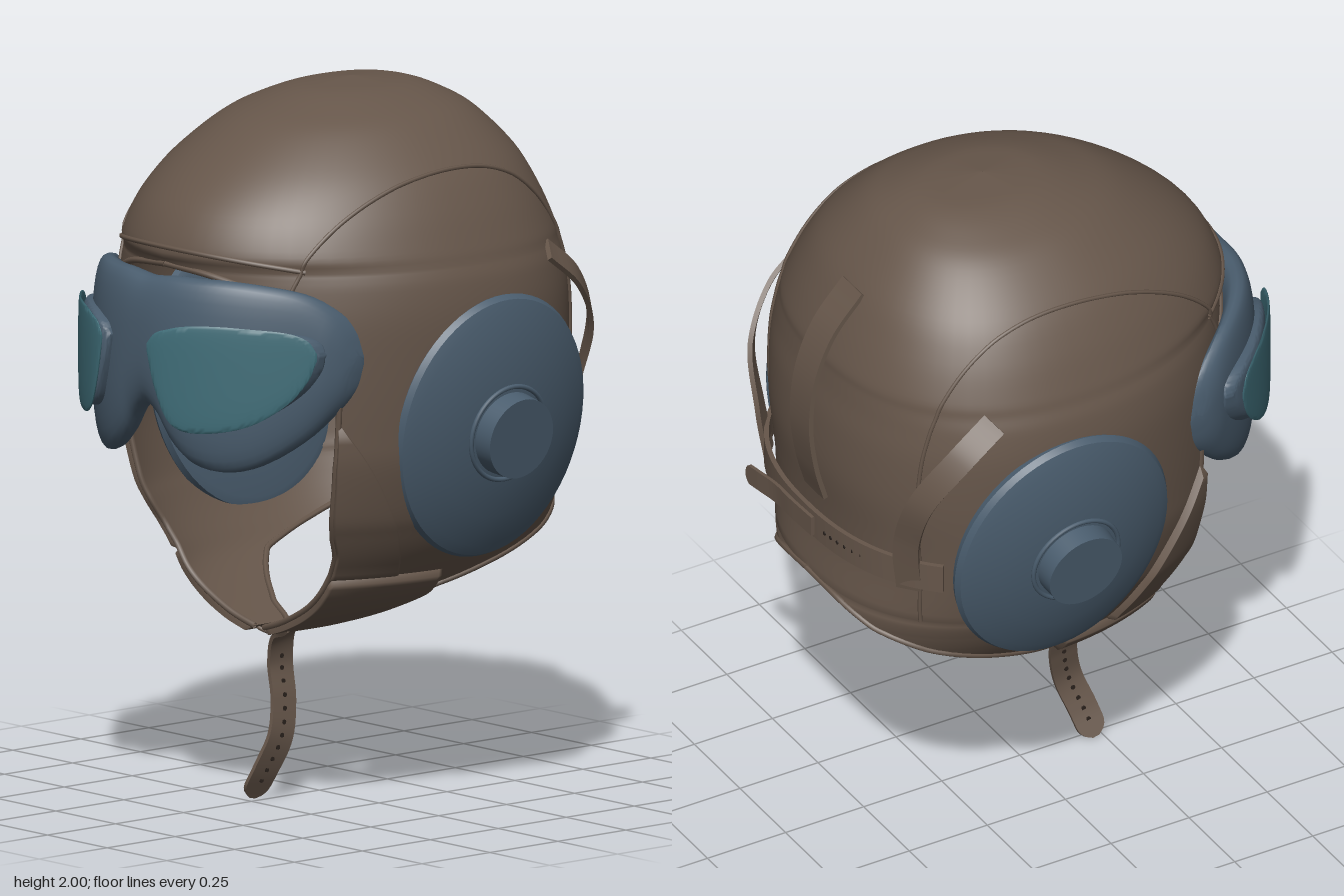
import * as THREE from 'three';
import { mergeGeometries, mergeVertices, toCreasedNormals } from 'three/addons/utils/BufferGeometryUtils.js';

const V = (x, y, z) => new THREE.Vector3(x, y, z);
const mat = (color) => new THREE.MeshStandardMaterial({ color, side: THREE.DoubleSide });
const leather = mat(0x66564a), rubber = mat(0x4a5d6e), glass = mat(0x3f6d78), dark = mat(0x2a221d);

// Shell levels: y, half width, front z, back z, z of the face edge, z of the neck edge
const LEVELS = [
  [2.0, 0.0005, -0.1195, -0.1205, 1, -1], [1.985, 0.13, 0.04, -0.29, 1, -1], [1.95, 0.235, 0.165, -0.385, 1, -1],
  [1.9, 0.325, 0.285, -0.46, 1, -1], [1.8, 0.43, 0.43, -0.55, 1, -1], [1.7, 0.495, 0.53, -0.605, 1, -1],
  [1.6, 0.54, 0.578, -0.645, 1, -1], [1.555, 0.555, 0.565, -0.652, 0.565, -1], [1.5, 0.573, 0.565, -0.66, 0.48, -1],
  [1.4, 0.585, 0.57, -0.675, 0.38, -1], [1.25, 0.582, 0.575, -0.68, 0.32, -1], [1.1, 0.572, 0.575, -0.665, 0.32, -1],
  [1.0, 0.56, 0.57, -0.66, 0.32, -1], [0.865, 0.52, 0.55, -0.68, 0.305, -0.68], [0.8, 0.49, 0.52, -0.68, 0.285, -0.625],
  [0.74, 0.455, 0.49, -0.67, 0.255, -0.5], [0.68, 0.41, 0.46, -0.66, 0.24, -0.32], [0.62, 0.355, 0.45, -0.66, 0.24, -0.12],
  [0.57, 0.27, 0.45, -0.66, 0.235, -0.04], [0.52, 0.14, 0.45, -0.66, 0.23, 0.05], [0.49, 0.025, 0.45, -0.66, 0.22, 0.1]];
const LAST = LEVELS.length - 1, ZC = -0.12;
const clamp = THREE.MathUtils.clamp;

// Smooth value of one column at level t (edge columns stay linear)
function col(t, c) {
  const i = Math.min(Math.floor(t), LAST - 1), f = t - i;
  const g = (k) => LEVELS[clamp(k, 0, LAST)][c];
  const [a, b, d, e] = [g(i - 1), g(i), g(i + 1), g(i + 2)];
  if (c > 3 || i === 0) return b + (d - b) * f;
  return b + 0.5 * f * (d - a + f * (2 * a - 5 * b + 4 * d - e + f * (3 * (b - d) + e - a)));
}
function levelAt(y) {
  let lo = 0, hi = LAST;
  for (let k = 0; k < 40; k++) { const m = (lo + hi) / 2; if (col(m, 0) > y) lo = m; else hi = m; }
  return lo;
}
// Level outline: round in front, squarer behind
const power = (front) => (front ? 2 : 2.35);
// Point on the shell; angle 0 is the front, PI the back
function shellPoint(t, ang, off = 0) {
  const s = Math.sin(ang), c = Math.cos(ang), y = col(t, 0), n = power(c > 0);
  const rho = (Math.abs(s) ** n + Math.abs(c) ** n) ** (-1 / n);
  const r = (c > 0 ? col(t, 2) - ZC : ZC - col(t, 3)) + off;
  return V((col(t, 1) + off) * s * rho, y - off * clamp((0.7 - y) / 0.15, 0, 1), ZC + r * c * rho);
}
function angleAtZ(t, z) {
  const n = power(z > ZC), r = z > ZC ? col(t, 2) - ZC : ZC - col(t, 3);
  const q = Math.min(Math.abs(z - ZC) / r, 1);
  return Math.atan2((1 - q ** n) ** (1 / n), z > ZC ? q : -q);
}
function angleAtX(t, x, front) {
  const n = power(front), q = Math.min(x / col(t, 1), 1), c = (1 - q ** n) ** (1 / n);
  return Math.atan2(q, front ? c : -c);
}
const faceEdge = (t) => angleAtZ(t, col(t, 4));
const neckEdge = (t) => angleAtZ(t, col(t, 5));
const mirrored = (pts, side) => pts.map((p) => V(p.x * side, p.y, p.z));

// Patch of the shell on one side, between two levels; a raised patch slopes down at its border
function shellSide(side, t0, t1, off, backZ) {
  const rows = Math.ceil((t1 - t0) * 5), cols = 36, pos = [], idx = [];
  for (let i = 0; i <= rows; i++) {
    const t = t0 + (t1 - t0) * i / rows, a = faceEdge(t);
    const b = backZ ? Math.max(a, Math.min(neckEdge(t), angleAtZ(t, backZ(col(t, 0))))) : neckEdge(t);
    for (let j = 0; j <= cols; j++) {
      const border = i === 0 || i === rows || j === 0 || j === cols;
      const p = shellPoint(t, a + (b - a) * j / cols, border ? 0 : off);
      pos.push(p.x * side, p.y, p.z);
      if (i === rows || j === cols) continue;
      const k = i * (cols + 1) + j, m = k + cols + 1;
      if (side > 0) idx.push(k, m, k + 1, k + 1, m, m + 1);
      else idx.push(k, k + 1, m, k + 1, m + 1, m);
    }
  }
  const g = new THREE.BufferGeometry();
  g.setAttribute('position', new THREE.Float32BufferAttribute(pos, 3));
  g.setIndex(idx);
  g.computeVertexNormals();
  return g;
}

// Solid through a row of closed cross-sections, turned to face outward
function loft(rings, crease) {
  const n = rings[0].length, all = rings.flat(), idx = [];
  for (let i = 0; i < rings.length - 1; i++) for (let j = 0; j < n; j++) {
    const a = i * n + j, b = i * n + (j + 1) % n;
    idx.push(a, a + n, b, b, a + n, b + n);
  }
  const end = (rings.length - 1) * n;
  for (let j = 1; j < n - 1; j++) idx.push(0, j, j + 1, end, end + j + 1, end + j);
  let vol = 0;
  for (let k = 0; k < idx.length; k += 3) vol += all[idx[k]].dot(all[idx[k + 1]].clone().cross(all[idx[k + 2]]));
  if (vol < 0) idx.reverse();
  const g = new THREE.BufferGeometry().setFromPoints(all);
  g.setIndex(idx);
  return toCreasedNormals(g, crease);
}

// Flat strap along a path; normal is fixed or points away from the head
function ribbon(pts, width, thick, normal, roundEnd = false) {
  const curve = new THREE.CatmullRomCurve3(pts), N = 48, rings = [];
  for (let i = 0; i <= N; i++) {
    const u = i / N, p = curve.getPoint(u), t = curve.getTangent(u);
    const out = normal ? normal.clone() : p.clone().sub(V(0, 1.1, ZC)).normalize();
    const w = t.clone().cross(out).normalize(), n = w.clone().cross(t).normalize();
    const e = roundEnd ? Math.sqrt(1 - clamp((u - 0.92) / 0.08, 0, 0.97) ** 2) : 1;
    rings.push([[1, 1], [-1, 1], [-1, -1], [1, -1]].map(([a, b]) =>
      p.clone().addScaledVector(w, a * e * width / 2).addScaledVector(n, b * thick / 2)));
  }
  return loft(rings, 0.7);
}

// Bent plate lofted along x from [x, bottom, top] stations
function bentPlate(stations, zMid, half, p) {
  const curve = new THREE.CatmullRomCurve3(stations.map((s) => V(...s))), N = 64, rings = [];
  const sp = (v) => Math.sign(v) * Math.abs(v) ** p;
  for (let i = 0; i <= N; i++) {
    const s = curve.getPoint(i / N), h = (s.z - s.y) / 2;
    const d = half * Math.sqrt(clamp(h / 0.12, 0.1, 1)), ring = [];
    for (let k = 0; k < 32; k++) {
      const a = k / 32 * Math.PI * 2;
      ring.push(V(s.x, (s.y + s.z) / 2 + h * sp(Math.cos(a)), zMid(s.x) + d * sp(Math.sin(a))));
    }
    rings.push(ring);
  }
  return loft(rings, 0.8);
}

// Ear disc: turned dish, narrowed and curved round the head
function earDisc() {
  const profile = [[0, -0.045], [0.2, -0.04], [0.35, -0.035], [0.375, -0.025], [0.382, -0.005], [0.372, 0.012],
    [0.34, 0.024], [0.25, 0.042], [0.15, 0.056], [0, 0.056]];
  const g = new THREE.LatheGeometry(profile.map((p) => new THREE.Vector2(...p)), 64);
  g.scale(1, 1, 0.885);
  const pos = g.attributes.position;
  for (let i = 0; i < pos.count; i++) pos.setY(i, pos.getY(i) - 0.22 * pos.getZ(i) ** 2 - 0.1 * pos.getX(i) ** 2);
  return toCreasedNormals(g, 0.6);
}

export function createModel() {
  const model = new THREE.Group();
  const add = (name, geo, m = leather, parent = model) => {
    const mesh = new THREE.Mesh(geo, m);
    mesh.name = name;
    parent.add(mesh);
  };
  const cord = (name, pts, r) => add(name, new THREE.TubeGeometry(new THREE.CatmullRomCurve3(pts), 90, r, 6));
  const range = (a, b, n, f) => Array.from({ length: n + 1 }, (_, i) => f(a + (b - a) * i / n));

  // Leather shell, joined along the middle
  const halves = [1, -1].map((s) => shellSide(s, 0, LAST, 0));
  halves.forEach((g) => g.deleteAttribute('normal'));
  const shell = mergeVertices(mergeGeometries(halves));
  shell.computeVertexNormals();
  add('shell', shell);
  cord('browSeam', range(-0.75, 0.75, 24, (a) => shellPoint(levelAt(1.605 - 0.08 * a * a), a, 0.001)), 0.007);

  const chin = levelAt(0.67), brow = 7, nape = 13;
  for (const side of [1, -1]) {
    // Hems, crown seam and reinforcing patches
    cord('faceHem', mirrored(range(brow, LAST, 50, (t) => shellPoint(t, faceEdge(t))), side), 0.009);
    cord('neckHem', mirrored(range(nape, LAST, 40, (t) => shellPoint(t, neckEdge(t))), side), 0.009);
    const top = levelAt(1.799), seamX = (t, slope) => 0.43 - slope * (1.8 - col(t, 0));
    const front = range(levelAt(1.5), top, 18, (t) => shellPoint(t, angleAtX(t, seamX(t, 0.25), true), 0.002));
    const back = range(top + 0.05, nape, 30, (t) => shellPoint(t, angleAtX(t, seamX(t, 0.05), false), 0.002));
    cord('crownSeam', mirrored([...front, ...back], side), 0.006);
    add('chinFlap', shellSide(side, chin, LAST, 0.02, () => -0.1));
    add('cheekPatch', shellSide(side, levelAt(1.13), chin + 0.1, 0.022, (y) => 0.05 + 0.265 * Math.max((y - 0.66) / 0.47, 0) ** 1.2));

    // Ear cup with raised knob
    const ear = new THREE.Group();
    ear.name = 'earCup';
    ear.position.set(side * 0.545, 1.08, -0.17);
    ear.rotation.z = -side * (Math.PI / 2 + 0.16);
    model.add(ear);
    add('earDisc', earDisc(), rubber, ear);
    add('earKnob', new THREE.CylinderGeometry(0.115, 0.12, 0.08, 48).translate(0, 0.07, 0), rubber, ear);
    add('earRing', new THREE.TorusGeometry(0.135, 0.007, 8, 48).rotateX(Math.PI / 2).translate(0, 0.054, 0), rubber, ear);

    // Curved strap behind the ear
    const path = [[1.55, -0.38, 0.01], [1.46, -0.47, 0.04], [1.32, -0.545, 0.055], [1.15, -0.57, 0.035], [0.99, -0.56, 0.022]]
      .map(([y, z, off]) => { const t = levelAt(y); return shellPoint(t, angleAtZ(t, z), off); });
    add('earStrap', ribbon(mirrored(path, side), 0.075, 0.014));
  }

  // Back straps: upright loop, horizontal band and its loose tail
  add('backLoop', ribbon([V(-0.04, 1.79, -0.555), V(-0.04, 1.68, -0.65), V(-0.04, 1.55, -0.705), V(-0.04, 1.4, -0.722),
    V(-0.04, 1.26, -0.705), V(-0.04, 1.15, -0.675)], 0.105, 0.014, V(0, 0.1, -1)));
  const band = levelAt(1.045);
  add('backBand', ribbon(range(2.3, Math.PI * 2 - 2.3, 24, (a) => shellPoint(band, a, 0.024)), 0.085, 0.014, V(0, 0, -1)));
  add('bandTail', ribbon([V(-0.06, 1.045, -0.698), V(0.05, 1.045, -0.702), V(0.14, 1.04, -0.698), V(0.22, 1.035, -0.705), V(0.28, 1.03, -0.71)],
    0.06, 0.01, V(0, 0, -1), true));
  for (let i = 0; i < 9; i++) {
    const x = -0.33 + i * 0.028, z = shellPoint(band, angleAtX(band, -x, false), 0.028).z;
    add('bandHole', new THREE.CylinderGeometry(0.006, 0.006, 0.012, 8).rotateX(Math.PI / 2).translate(x, 1.045, z), dark);
  }

  // Hanging chin strap with holes, and the buckle opposite
  const strapPts = [V(0.09, 0.5, 0.16), V(0.02, 0.465, 0.15), V(-0.005, 0.38, 0.14), V(0.02, 0.28, 0.15),
    V(0.035, 0.18, 0.175), V(0.01, 0.09, 0.205), V(-0.03, 0.006, 0.225)];
  add('chinStrap', ribbon(strapPts, 0.085, 0.012, V(1, 0.05, 0), true));
  const strapCurve = new THREE.CatmullRomCurve3(strapPts);
  for (let i = 0; i < 11; i++) {
    const p = strapCurve.getPoint(0.3 + i * 0.06);
    add('strapHole', new THREE.CylinderGeometry(0.007, 0.007, 0.016, 8).rotateZ(Math.PI / 2).translate(p.x, p.y, p.z), dark);
  }
  add('buckle', new THREE.TorusGeometry(0.03, 0.006, 8, 24).rotateX(1.4).rotateZ(-0.4).translate(-0.045, 0.475, 0.16));

  // Goggles: bent mask, lens rims, lenses and their inner faces
  const goggles = new THREE.Group();
  goggles.name = 'goggles';
  model.add(goggles);
  const half = [[0.05, 1.14, 1.535], [0.1, 1.07, 1.54], [0.16, 1.02, 1.54], [0.24, 1.0, 1.54], [0.32, 1.02, 1.53],
    [0.4, 1.09, 1.505], [0.45, 1.17, 1.455], [0.475, 1.23, 1.4], [0.487, 1.3, 1.33]];
  const flip = (list) => list.map(([x, a, b]) => [-x, a, b]).reverse();
  const maskFront = (x) => 0.672 - 2.0 * Math.abs(x) ** 2.5;
  add('mask', bentPlate([...flip(half), [0, 1.17, 1.53], ...half], (x) => maskFront(x) - 0.06, 0.06, 0.75), rubber, goggles);
  const lens = [[0.095, 1.34, 1.365], [0.12, 1.24, 1.395], [0.16, 1.15, 1.41], [0.2, 1.125, 1.42], [0.28, 1.125, 1.425],
    [0.36, 1.15, 1.42], [0.43, 1.21, 1.41], [0.465, 1.27, 1.39], [0.482, 1.33, 1.355]];
  const inset = lens.map(([x, a, b]) => [0.285 + (x - 0.285) * 0.93, a + 0.012, b - 0.012]);
  const lensZ = (x) => 0.735 - 1.27 * x * x;
  for (const f of [(l) => l, flip]) {
    add('lensRim', bentPlate(f(inset), (x) => lensZ(x) - 0.06, 0.045, 0.4), rubber, goggles);
    add('lens', bentPlate(f(lens), (x) => lensZ(x) - 0.006, 0.007, 0.7), glass, goggles);
    add('innerLens', bentPlate(f(inset), (x) => maskFront(x) - 0.118, 0.008, 0.7), glass, goggles);
  }
  return model;
}
